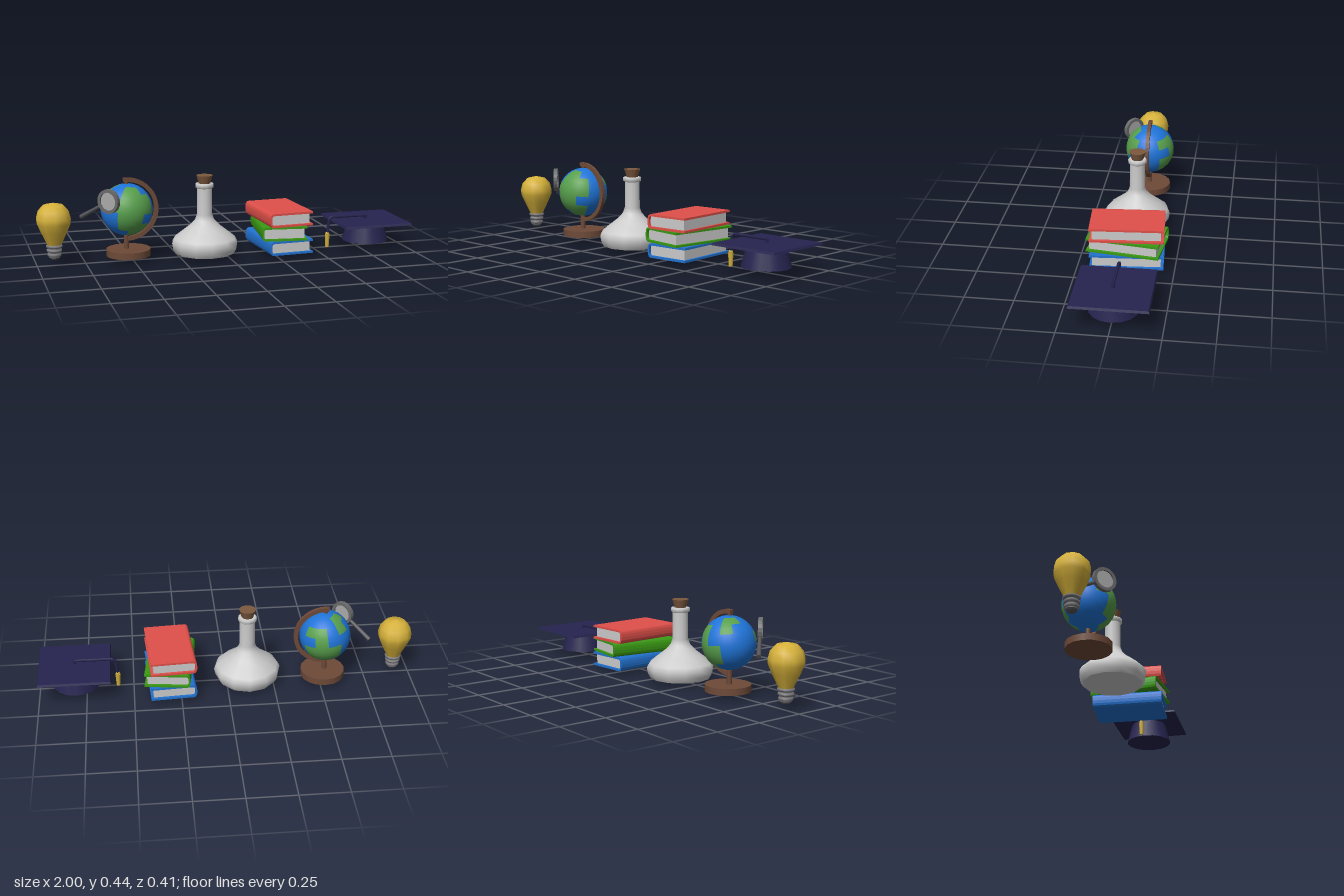
import * as THREE from 'three';
import { mergeGeometries } from 'three/addons/utils/BufferGeometryUtils.js';

const GREY = 0xcccccc, GOLD = 0xd4b03a, WOOD = 0x6e4a38, NAVY = 0x26244f;

function part(parent, name, geometry, color, x = 0, y = 0, z = 0, flat = false) {
  const mat = new THREE.MeshStandardMaterial({ color, flatShading: flat });
  const mesh = new THREE.Mesh(geometry, mat);
  mesh.name = name;
  mesh.position.set(x, y, z);
  parent.add(mesh);
  return mesh;
}

function group(parent, name, x = 0, y = 0, z = 0) {
  const g = new THREE.Group();
  g.name = name;
  g.position.set(x, y, z);
  parent.add(g);
  return g;
}

// profile: [radius, height] pairs from bottom to top
const lathe = (profile, sides) =>
  new THREE.LatheGeometry(profile.map(([r, y]) => new THREE.Vector2(r, y)), sides);
const cyl = (top, bottom, h, sides) => new THREE.CylinderGeometry(top, bottom, h, sides);

function lightBulb(root) {
  const g = group(root, 'lightBulb', -0.91);
  part(g, 'glassBulb', lathe([[0.038, 0.112], [0.046, 0.13], [0.07, 0.18], [0.088, 0.222],
    [0.09, 0.25], [0.08, 0.288], [0.052, 0.318], [0, 0.33]], 10), GOLD);
  part(g, 'screwCore', cyl(0.034, 0.03, 0.07, 10), 0x77777a, 0, 0.08, 0);
  for (let i = 0; i < 3; i++) {
    const y = 0.103 - i * 0.022, r = 0.043 - i * 0.003;
    part(g, 'screwThread', lathe([[0.03, y - 0.01], [r, y - 0.005], [r, y + 0.005], [0.03, y + 0.01]], 10), 0x77777a);
  }
  part(g, 'contactTip', cyl(0.03, 0.022, 0.012, 10), 0x55555a, 0, 0.041, 0);
}

// Sphere cells are sorted into land and sea from a small map
function globe(root) {
  const g = group(root, 'globe', -0.525, 0, -0.022);
  const map = ['............', '..##......##', '..###..##.#.', '.####...#...',
    '..##...###..', '..###..###..', '...##...#...', '............'];
  const cells = { '#': [], '.': [] };
  const dp = Math.PI / 6, dt = Math.PI / 8;
  map.forEach((row, r) => [...row].forEach((c, i) =>
    cells[c].push(new THREE.SphereGeometry(0.136, 1, 1, i * dp, dp, r * dt, dt))));
  const ball = group(g, 'globeBall', 0, 0.27, 0);
  ball.rotation.z = -0.12;
  part(ball, 'sea', mergeGeometries(cells['.']), 0x1f74d8);
  part(ball, 'land', mergeGeometries(cells['#']), 0x579e4c);
  part(g, 'globeBase', cyl(0.118, 0.118, 0.035, 16), WOOD, 0.005, 0.0425, 0);
  part(g, 'globePole', cyl(0.013, 0.013, 0.08, 8), WOOD, -0.005, 0.095, 0);
  // Curved arm holding both poles of the ball
  const arc = new THREE.Shape();
  arc.absarc(0, 0, 0.167, -1.65, 1.68, false);
  arc.absarc(0, 0, 0.145, 1.68, -1.65, true);
  const arm = new THREE.ExtrudeGeometry(arc, { depth: 0.02, bevelEnabled: false, curveSegments: 12 });
  part(g, 'globeArm', arm, WOOD, 0, 0.27, -0.01);
  part(g, 'topPivot', cyl(0.01, 0.01, 0.03, 8), WOOD, 0, 0.415, 0);
  part(g, 'bottomPivot', cyl(0.01, 0.01, 0.03, 8), WOOD, -0.004, 0.125, 0);
}

function magnifier(root) {
  const g = group(root, 'magnifier', -0.637, 0.338, 0.084);
  g.rotation.y = -Math.PI / 4;
  const rim = new THREE.Shape();
  rim.absarc(0, 0, 0.063, 0, Math.PI * 2);
  const hole = new THREE.Path();
  hole.absarc(0, 0, 0.047, 0, Math.PI * 2, true);
  rim.holes.push(hole);
  part(g, 'magnifierRim', new THREE.ExtrudeGeometry(rim,
    { depth: 0.022, bevelEnabled: false, curveSegments: 10 }), 0x6a6a6a, 0, 0, -0.011);
  const lens = part(g, 'magnifierLens', cyl(0.048, 0.048, 0.008, 10), 0xaaaaaa);
  lens.rotation.x = Math.PI / 2;
  const a = Math.atan2(-0.1, -0.18);
  const handle = part(g, 'magnifierHandle', cyl(0.009, 0.012, 0.145, 8), 0x55555a,
    Math.cos(a) * 0.131, Math.sin(a) * 0.131, 0);
  handle.rotation.z = a + Math.PI / 2;
}

function flask(root) {
  const g = group(root, 'flask', -0.112);
  part(g, 'flaskBottom', lathe([[0, 0.018], [0.157, 0.018]], 12), GREY);
  part(g, 'flaskBody', lathe([[0.157, 0.018], [0.172, 0.042], [0.178, 0.075], [0.165, 0.098],
    [0.125, 0.13], [0.08, 0.165], [0.052, 0.196], [0.042, 0.225], [0.041, 0.375]], 12), GREY);
  part(g, 'flaskRim', lathe([[0.041, 0.366], [0.05, 0.372], [0.05, 0.388], [0.044, 0.392], [0, 0.392]], 12), GREY);
  part(g, 'cork', cyl(0.0445, 0.031, 0.044, 12), 0x7d593f, 0, 0.412, 0);
}

// Side outline of a book's curved spine edge, traced from bottom to top
function spineCurve(shape, x, bottom, top, bulge) {
  const mid = (bottom + top) / 2;
  shape.quadraticCurveTo(x - bulge, bottom, x - bulge, mid);
  shape.quadraticCurveTo(x - bulge, top, x, top);
}

function extrudeCentred(shape, depth) {
  const geo = new THREE.ExtrudeGeometry(shape, { depth, bevelEnabled: false, curveSegments: 4 });
  return geo.translate(0, 0, -depth / 2);
}

function book(parent, color, x, y, turn) {
  const g = group(parent, 'book', x, y, 0);
  g.rotation.y = turn;
  const hw = 0.121, h = 0.075, t = 0.011, sx = -hw + 0.02;
  const cover = new THREE.Shape();
  cover.moveTo(hw, 0);
  cover.lineTo(sx, 0);
  spineCurve(cover, sx, 0, h, 0.02);
  cover.lineTo(hw, h);
  cover.lineTo(hw, h - t);
  cover.lineTo(sx, h - t);
  spineCurve(cover, sx, h - t, t, 0.01);
  cover.lineTo(hw, t);
  part(g, 'bookCover', extrudeCentred(cover, 0.378), color);
  const pages = new THREE.Shape();
  pages.moveTo(hw - 0.014, t);
  pages.lineTo(sx, t);
  spineCurve(pages, sx, t, h - t, 0.01);
  pages.lineTo(hw - 0.014, h - t);
  part(g, 'bookPages', extrudeCentred(pages, 0.35), GREY);
}

function graduationCap(root) {
  const g = group(root, 'graduationCap', 0.808);
  part(g, 'capCrown', cyl(0.097, 0.126, 0.11, 16), NAVY, -0.003, 0.085, 0);
  const board = cyl(0.187 * Math.SQRT2, 0.192 * Math.SQRT2, 0.012, 4).rotateY(Math.PI / 4);
  part(g, 'capBoard', board, NAVY, 0, 0.143, 0, true);
  // Cord runs from the middle of the board over its edge
  const path = new THREE.CurvePath();
  const pts = [[0, 0.145], [0, 0.167], [-0.2, 0.167], [-0.216, 0.155], [-0.225, 0.07]]
    .map(([x, y]) => new THREE.Vector3(x, y, 0.002));
  for (let i = 1; i < pts.length; i++) path.add(new THREE.LineCurve3(pts[i - 1], pts[i]));
  part(g, 'tasselCord', new THREE.TubeGeometry(path, 48, 0.008, 6), NAVY);
  part(g, 'tasselKnot', new THREE.SphereGeometry(0.012, 8, 6), GOLD, -0.225, 0.074, 0.002);
  part(g, 'tassel', cyl(0.014, 0.01, 0.07, 8), GOLD, -0.225, 0.035, 0.002);
}

export function createModel() {
  const root = new THREE.Group();
  root.name = 'schoolObjects';
  lightBulb(root);
  globe(root);
  magnifier(root);
  flask(root);
  const books = group(root, 'bookStack');
  book(books, 0x2272d0, 0.302, 0.02, 0.065);
  book(books, 0x3a9a14, 0.3, 0.095, -0.13);
  book(books, 0xe0504a, 0.3, 0.17, 0.065);
  graduationCap(root);
  return root;
}
